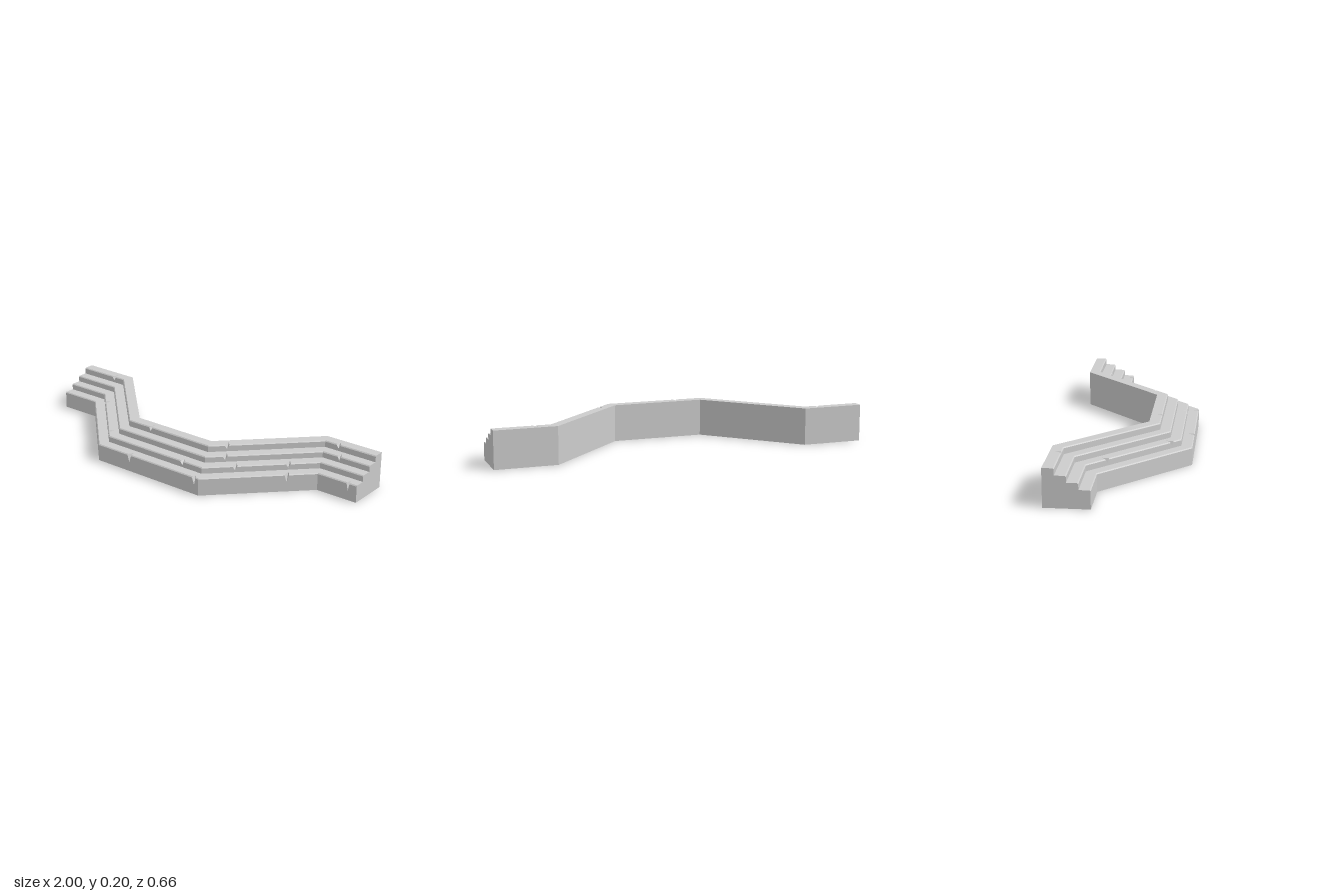
import * as THREE from 'three';

const DEPTH = 0.228, BACK = -0.33, BEVEL = 0.005;
const MITRE = Math.tan(Math.PI / 8);

// Steps from front to back: distance of the riser from the back wall, tread height
const STEPS = [
  { d: 0.228, y: 0.094 },
  { d: 0.171, y: 0.128 },
  { d: 0.114, y: 0.161 },
  { d: 0.058, y: 0.196 },
];

// Chipped cracks: [step, position along the path (segment + fraction)]
const CRACKS = [
  [0, 2.32], [0, 2.96], [0, 3.74], [0, 4.78],
  [1, 1.22], [1, 1.9], [1, 2.8], [1, 3.28], [1, 3.73],
  [2, 3.17], [2, 4.36],
  [3, 0.77], [3, 2.28], [3, 3.16], [3, 4.27],
].map(([step, u]) => ({ step, u, w: u < 1 || u > 4 ? 0.035 : 0.018 }));

// Point on the bent path at position u, distance d in front of the back wall
function pathPoint(u, d, y) {
  const outer = 0.675 + d * MITRE, inner = 0.245 + d * MITRE;
  const far = BACK + d, near = BACK + 0.432 + d;
  const corners = [[-1, far], [-outer, far], [-inner, near], [inner, near], [outer, far], [1, far]];
  const i = Math.min(Math.floor(u), 4), t = u - i;
  const [a, b] = [corners[i], corners[i + 1]];
  return [a[0] + (b[0] - a[0]) * t, y, a[1] + (b[1] - a[1]) * t];
}

// Stepped outline as [d, y]; a crack pulls the riser top down and the tread edge back
function section(u) {
  const pts = [[DEPTH, 0]];
  STEPS.forEach(({ d, y }, s) => {
    let cut = 0;
    for (const c of CRACKS) {
      if (c.step === s) cut = Math.max(cut, 1 - Math.abs(u - c.u) / c.w);
    }
    pts.push([d, y - BEVEL - cut * (s === 0 ? 0.038 : 0.018)]);
    pts.push([d - BEVEL, y].map((v, k) => (k === 0 ? v - cut * 0.027 : v)));
    pts.push(s < 3 ? [STEPS[s + 1].d, y] : [0, y]);
  });
  pts.push([0, 0]);
  return pts;
}

function buildSteps() {
  const stops = [0, 1, 2, 3, 4, 5];
  for (const c of CRACKS) stops.push(c.u - c.w, c.u, c.u + c.w);
  const us = [...new Set(stops)].sort((a, b) => a - b);
  const columns = us.map((u) => section(u).map(([d, y]) => pathPoint(u, d, y)));
  const pos = [];
  const tri = (a, b, c) => pos.push(...a, ...b, ...c);

  // Skin between neighbouring sections
  for (let i = 0; i < columns.length - 1; i++) {
    const a = columns[i], b = columns[i + 1];
    for (let j = 0; j < a.length; j++) {
      const k = (j + 1) % a.length;
      tri(a[j], b[j], b[k]);
      tri(a[j], b[k], a[k]);
    }
  }
  // End caps
  const outline = section(0).map(([d, y]) => new THREE.Vector2(d, y));
  const left = columns[0], right = columns[columns.length - 1];
  for (const [a, b, c] of THREE.ShapeUtils.triangulateShape(outline, [])) {
    tri(left[a], left[b], left[c]);
    tri(right[a], right[c], right[b]);
  }
  const geo = new THREE.BufferGeometry();
  geo.setAttribute('position', new THREE.Float32BufferAttribute(pos, 3));
  geo.computeVertexNormals();
  return geo;
}

export function createModel() {
  const group = new THREE.Group();
  group.name = 'angledStoneSteps';
  const stone = new THREE.MeshStandardMaterial({ color: 0xcccccc, flatShading: true });
  const steps = new THREE.Mesh(buildSteps(), stone);
  steps.name = 'crackedSteps';
  group.add(steps);
  return group;
}
